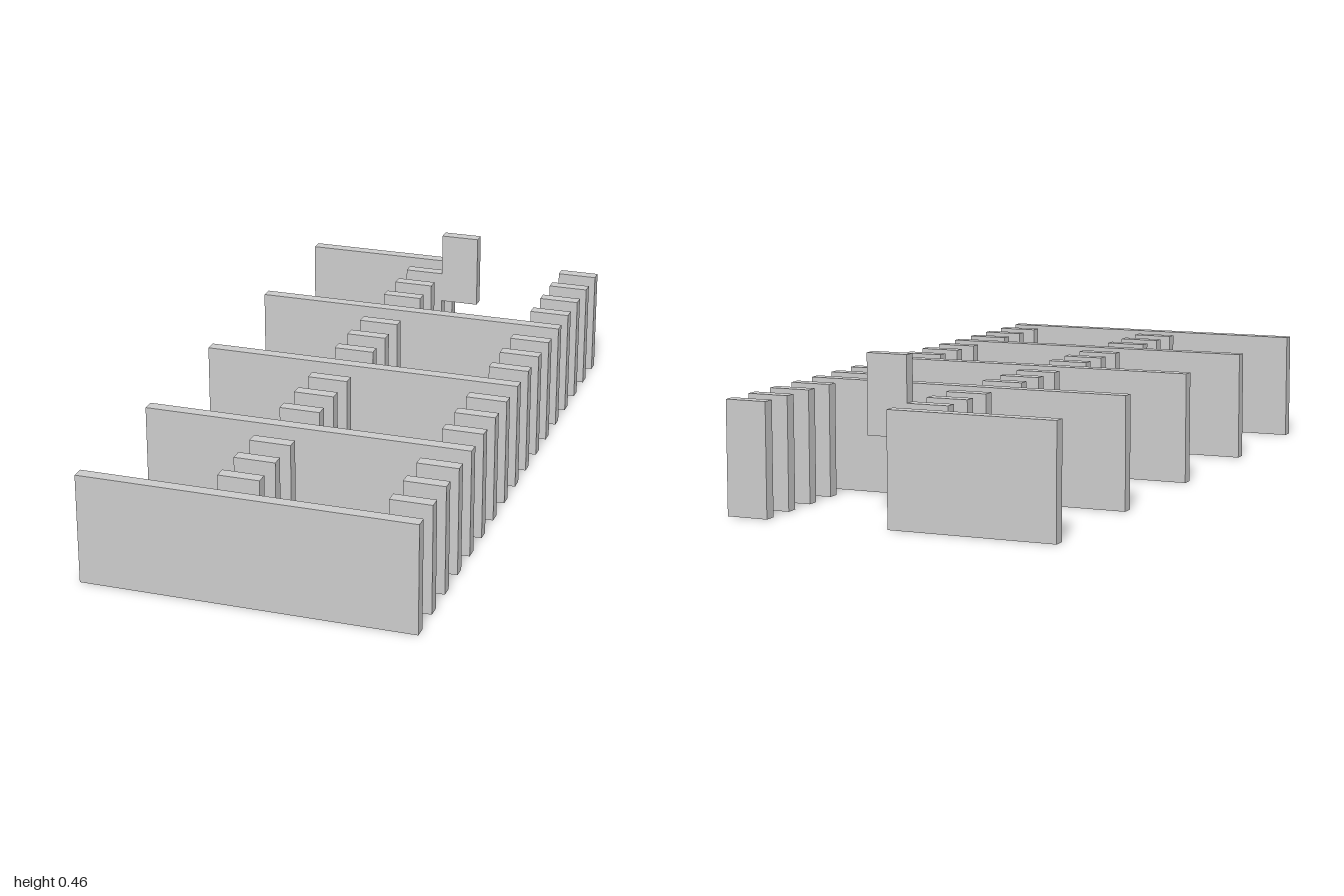
import * as THREE from 'three';

const THICK = 0.037;   // slab thickness along z
const HEIGHT = 0.325;  // common slab height
const ROWS = 17;       // evenly spaced rows from front to back
const PITCH = (2 - THICK) / (ROWS - 1);
const LEFT = 0.489, UNIT = 0.1222;

export function createModel() {
  const group = new THREE.Group();
  const material = new THREE.MeshStandardMaterial({ color: 0xcccccc, flatShading: true });

  // Upright slab between two x positions and two heights, in a given row
  const slab = (name, row, x0, x1, y0 = 0, y1 = HEIGHT) => {
    const mesh = new THREE.Mesh(new THREE.BoxGeometry(x1 - x0, y1 - y0, THICK), material);
    mesh.position.set((x0 + x1) / 2, (y0 + y1) / 2, 1 - THICK / 2 - row * PITCH);
    mesh.name = name;
    group.add(mesh);
  };

  for (let row = 0; row < ROWS; row++) {
    const last = row === ROWS - 1;
    if (row % 4 === 0 && !last) {
      // Full-width cross wall at every fourth row
      slab('crossWall', row, -LEFT, LEFT);
    } else {
      // Short fin along the left edge
      slab('edgeFin', row, LEFT - UNIT, LEFT);
      // Centre fin, or the half-width wall that closes the back
      if (last) slab('backHalfWall', row, -LEFT, 0);
      else slab('centreFin', row, -UNIT, 0);
    }
  }

  // Raised block hanging off the side of the rearmost centre fin
  slab('raisedBlock', ROWS - 2, 0, 0.12, 0.23, 0.457);

  return group;
}
